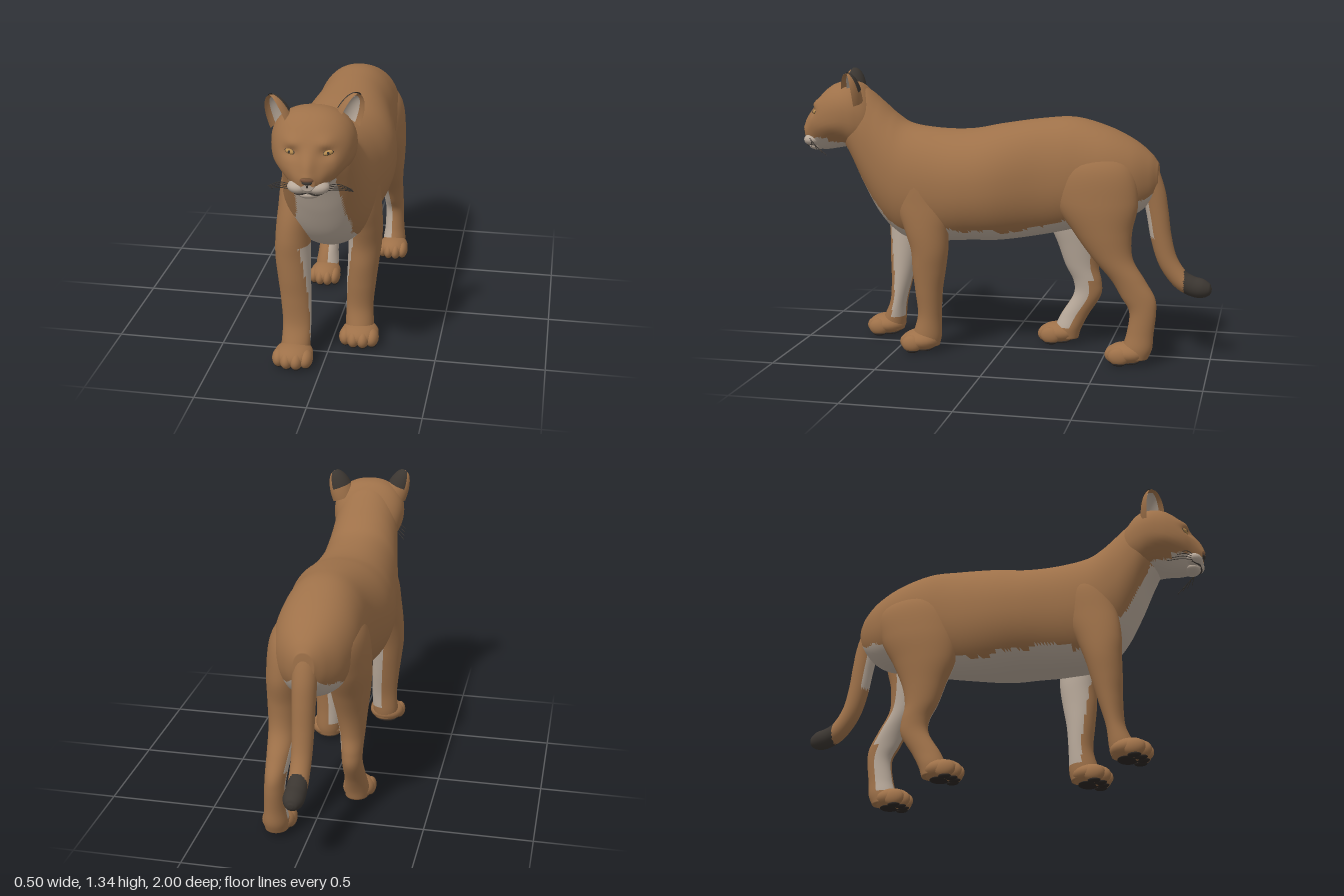
import * as THREE from 'three';
import { ParametricGeometry } from 'three/addons/geometries/ParametricGeometry.js';

const mat = (name, color) => new THREE.MeshStandardMaterial({ name, color, side: THREE.DoubleSide });
const tan = mat('tan fur', 0x9e7149);
const pale = mat('pale fur', 0xb8a99a);
const dark = mat('dark fur', 0x3b3631);
const pad = mat('paw pad', 0x2b2623);
const amber = mat('amber eye', 0xb58a4e);
const noseMat = mat('nose', 0x80583f);

// Smooth skin through stations [x, y, z, radius across, radius along V].
// V is a fixed axis, or is turned along the path when left out.
// sculpt(p) moves a vertex; paint(p, cos, sin) picks a material index for each face.
function loft(name, stations, { V = null, n = 2, sides = 56, steps = 8, mats = [tan], sculpt = () => {}, paint }) {
  const path = new THREE.CatmullRomCurve3(stations.map(s => new THREE.Vector3(s[0], s[1], s[2])), false, 'catmullrom');
  const size = new THREE.CatmullRomCurve3(stations.map(s => new THREE.Vector3(s[3], s[4], 0)), false, 'catmullrom');
  const rings = (stations.length - 1) * steps, pos = [];
  const bend = v => Math.sign(v) * Math.abs(v) ** (2 / n);
  for (let i = 0; i <= rings; i++) {
    const c = path.getPoint(i / rings), r = size.getPoint(i / rings), t = path.getTangent(i / rings);
    const axis = V || new THREE.Vector3(0, -t.z, t.y);
    for (let j = 0; j < sides; j++) {
      const a = j / sides * Math.PI * 2;
      const p = c.clone().addScaledVector(axis, Math.max(r.y, 0.002) * bend(Math.sin(a)));
      p.x += Math.max(r.x, 0.002) * bend(Math.cos(a));
      sculpt(p);
      pos.push(p.x, p.y, p.z);
    }
  }
  const first = pos.length / 3, last = stations[stations.length - 1];
  pos.push(...stations[0].slice(0, 3), ...last.slice(0, 3));
  const at = i => new THREE.Vector3(pos[i * 3], pos[i * 3 + 1], pos[i * 3 + 2]);
  const buckets = mats.map(() => []);
  let volume = 0;
  const tri = (a, b, c, angle) => {
    const A = at(a), B = at(b), C = at(c);
    volume += A.dot(B.clone().cross(C));
    const mid = A.add(B).add(C).divideScalar(3);
    buckets[paint(mid, Math.cos(angle), Math.sin(angle))].push(a, b, c);
  };
  for (let j = 0; j < sides; j++) {
    const k = (j + 1) % sides, angle = (j + 0.5) / sides * Math.PI * 2;
    for (let i = 0; i < rings; i++) {
      const a = i * sides + j, b = i * sides + k;
      tri(a, b, b + sides, angle);
      tri(a, b + sides, a + sides, angle);
    }
    tri(first, k, j, angle);
    tri(first + 1, rings * sides + j, rings * sides + k, angle);
  }
  if (volume < 0) buckets.forEach(b => b.reverse());
  const g = new THREE.BufferGeometry();
  g.setAttribute('position', new THREE.Float32BufferAttribute(pos, 3));
  g.setIndex(buckets.flat());
  let start = 0;
  buckets.forEach((b, m) => { g.addGroup(start, b.length, m); start += b.length; });
  g.computeVertexNormals();
  const mesh = new THREE.Mesh(g, mats);
  mesh.name = name;
  return mesh;
}

function blob(name, m, [x, y, z], [rx, ry, rz], rot = [0, 0, 0]) {
  const mesh = new THREE.Mesh(new THREE.SphereGeometry(1, 24, 16), m);
  mesh.name = name;
  mesh.position.set(x, y, z);
  mesh.scale.set(rx, ry, rz);
  mesh.rotation.set(...rot);
  return mesh;
}

function hair(name, points, r) {
  const curve = new THREE.CatmullRomCurve3(points.map(p => new THREE.Vector3(...p)));
  const mesh = new THREE.Mesh(new THREE.TubeGeometry(curve, 14, r, 5), dark);
  mesh.name = name;
  return mesh;
}

const UP = new THREE.Vector3(0, 1, 0), FORWARD = new THREE.Vector3(0, 0, 1);
const slices = rows => rows.map(([z, top, bottom, w]) => [0, (top + bottom) / 2, z, w, (top - bottom) / 2]);
const bump = (x, y, cx, cy, rx, ry) => Math.exp(-(((x - cx) / rx) ** 2) - ((y - cy) / ry) ** 2);

// Leg rows: [y, x, half width, back z, front z]
function leg(name, s, rows, paint) {
  const st = rows.map(([y, x, rx, b, f]) => [s * x, y, (b + f) / 2, rx, (f - b) / 2]);
  return loft(name, st, { V: FORWARD, sides: 40, mats: [tan, pale], paint: (p, c, sn) => paint(p, c * s, sn) ? 1 : 0 });
}

function paw(name, x, front, k) {
  const g = new THREE.Group();
  g.name = name;
  g.add(blob('pawTop', tan, [x, 0.055, front - 0.1], [0.088 * k, 0.05, 0.092]));
  g.add(blob('heelPad', pad, [x, 0.012, front - 0.115], [0.055 * k, 0.01, 0.045]));
  [-0.062, -0.022, 0.022, 0.062].forEach((dx, i) => {
    const z = front - (i % 3 ? 0.05 : 0.07);
    g.add(blob('toe', tan, [x + dx * k, 0.046, z], [0.031 * k, 0.041, 0.05]));
    g.add(blob('toePad', pad, [x + dx * k, 0.012, z], [0.022 * k, 0.011, 0.03]));
  });
  return g;
}

// Curved ear shell, open to the front; span is its sweep either side of the back
function earShell(name, m, scale, span, low, high) {
  const g = new ParametricGeometry((u, v, t) => {
    const a = (u * 2 - 1) * span, h = low + (high - low) * v;
    const w = Math.sqrt(Math.max(0, 1 - h ** 2.2)) * scale;
    t.set(0.062 * w * Math.sin(a), 0.145 * h * (0.6 + 0.4 * scale), -0.055 * w * Math.cos(a));
  }, 24, 16);
  const mesh = new THREE.Mesh(g, m);
  mesh.name = name;
  return mesh;
}

// Eye sockets, brows, nose bridge and a narrowing jaw
function sculptFace(p) {
  const x = Math.abs(p.x), { y, z } = p;
  const face = THREE.MathUtils.smoothstep(z, 0.8, 0.9);
  p.z += face * (0.022 * bump(x, y, 0, 1.1, 0.032, 0.06) + 0.012 * bump(x, y, 0.07, 1.185, 0.04, 0.022)
    - 0.016 * bump(x, y, 0.075, 1.14, 0.032, 0.02));
  p.x *= 1 - 0.3 * THREE.MathUtils.smoothstep(z, 0.72, 0.84) * (1 - THREE.MathUtils.smoothstep(y, 0.96, 1.09));
}

function makeHead() {
  const head = new THREE.Group();
  head.name = 'head';
  head.add(loft('skull', slices([
    [0.985, 1.06, 1.0, 0.035], [0.97, 1.085, 0.98, 0.06], [0.945, 1.14, 0.962, 0.088], [0.915, 1.2, 0.955, 0.118],
    [0.87, 1.25, 0.955, 0.147], [0.82, 1.28, 0.963, 0.168], [0.76, 1.288, 0.972, 0.179], [0.7, 1.272, 0.96, 0.173],
    [0.64, 1.205, 0.97, 0.14], [0.59, 1.11, 1.02, 0.06]]), {
    V: UP, n: 2.25, mats: [tan, pale], steps: 10, sculpt: sculptFace,
    paint: p => (p.y < 1.02 && p.z > 0.85) || (p.y < 1.0 && Math.abs(p.x) < 0.1) ? 1 : 0 }));
  head.add(blob('nose', noseMat, [0, 1.048, 0.98], [0.031, 0.016, 0.018]));
  head.add(blob('noseTip', dark, [0, 1.035, 0.985], [0.022, 0.01, 0.014]));
  head.add(blob('chin', pale, [0, 0.972, 0.932], [0.05, 0.022, 0.04]));
  for (const s of [-1, 1]) {
    head.add(blob('muzzle', pale, [s * 0.04, 1.004, 0.945], [0.047, 0.029, 0.042]));
    head.add(blob('eyeRim', dark, [s * 0.077, 1.141, 0.909], [0.03, 0.014, 0.016], [0, s * 0.5, s * 0.2]));
    head.add(blob('eye', amber, [s * 0.078, 1.142, 0.916], [0.022, 0.011, 0.014], [0, s * 0.5, s * 0.2]));
    head.add(blob('pupil', dark, [s * 0.079, 1.143, 0.928], [0.006, 0.007, 0.004]));
    head.add(hair('mouthLine', [[0, 1.025, 0.988], [0, 0.992, 0.974], [s * 0.035, 0.978, 0.972], [s * 0.075, 0.985, 0.94]], 0.004));
    for (let i = 0; i < 4; i++)
      head.add(hair('whisker', [[s * 0.065, 1.012 - i * 0.007, 0.955], [s * 0.12, 1.012 - i * 0.012, 0.93 - i * 0.01],
        [s * 0.172, 0.985 - i * 0.013, 0.91 - i * 0.024]], 0.0018));
    // Cupped ears turned a little outward, dark behind and pale inside
    const ear = new THREE.Group();
    ear.name = s > 0 ? 'leftEar' : 'rightEar';
    const inner = earShell('innerEar', pale, 0.76, 1.5, 0.05, 0.98);
    inner.position.z = -0.004;
    ear.add(earShell('outerEar', tan, 1, 1.9, 0, 1), inner, earShell('earBack', dark, 1.06, 1.2, 0.4, 0.98));
    ear.position.set(s * 0.13, 1.2, 0.752 - s * 0.028);
    ear.rotation.set(0.05, s * 0.7, -s * 0.32, 'ZYX');
    head.add(ear);
  }
  // slight turn of the head about the skull centre
  const pivot = new THREE.Vector3(0, 0, 0.8);
  head.rotation.y = 0.06;
  head.position.copy(pivot).sub(pivot.clone().applyEuler(head.rotation));
  return head;
}

export function createModel() {
  const model = new THREE.Group();
  model.name = 'bigCat';
  // Trunk and neck, pale on throat, chest and belly
  model.add(loft('body', slices([
    [-0.74, 0.93, 0.8, 0.045], [-0.7, 0.98, 0.74, 0.095], [-0.62, 1.04, 0.68, 0.155], [-0.5, 1.097, 0.65, 0.19],
    [-0.35, 1.137, 0.61, 0.197], [-0.2, 1.13, 0.575, 0.203], [0, 1.1, 0.542, 0.245], [0.15, 1.072, 0.535, 0.245],
    [0.3, 1.07, 0.525, 0.225], [0.45, 1.09, 0.53, 0.207], [0.53, 1.135, 0.57, 0.193], [0.6, 1.195, 0.645, 0.178],
    [0.67, 1.25, 0.77, 0.165], [0.73, 1.26, 0.9, 0.148], [0.78, 1.22, 0.98, 0.1]]), {
    V: UP, n: 2.15, mats: [tan, pale], steps: 10, sides: 72,
    paint: p => {
      const wave = 0.006 * Math.sin(p.z * 31) + 0.004 * Math.sin(p.z * 67);
      const chest = 0.095 + 0.035 * THREE.MathUtils.smoothstep(0.82 - p.y, 0, 0.15);
      if (p.z > 0.38) return p.y < 0.98 && Math.abs(p.x) < chest + wave ? 1 : 0;
      return p.y < 0.605 + wave + Math.max(0, -p.z - 0.1) * 0.3 ? 1 : 0;
    } }));
  model.add(makeHead());

  // Legs in a walking stance
  const foreInner = (p, c, s) => p.y > 0.1 && p.y < 0.56 && c < -0.1 && s < 0.2 + Math.max(0, p.y - 0.12) * 1.5;
  const hindInner = (p, c, s) => p.y > 0.09 && p.y < 0.68 && c < -0.15 && s > (p.y < 0.33 ? -0.2 : -0.6);
  model.add(leg('leftForeleg', 1, [
    [0.98, 0.11, 0.03, 0.32, 0.42], [0.87, 0.125, 0.08, 0.26, 0.48], [0.72, 0.14, 0.082, 0.22, 0.49], [0.6, 0.15, 0.078, 0.235, 0.45],
    [0.5, 0.147, 0.077, 0.24, 0.42], [0.4, 0.14, 0.072, 0.255, 0.415], [0.3, 0.132, 0.068, 0.272, 0.405], [0.18, 0.125, 0.063, 0.28, 0.395],
    [0.08, 0.127, 0.066, 0.28, 0.42], [0.03, 0.127, 0.06, 0.29, 0.42]], foreInner));
  model.add(leg('rightForeleg', -1, [
    [0.98, 0.11, 0.03, 0.37, 0.47], [0.87, 0.125, 0.08, 0.34, 0.55], [0.72, 0.14, 0.082, 0.36, 0.6], [0.6, 0.15, 0.08, 0.41, 0.615],
    [0.5, 0.15, 0.08, 0.445, 0.612], [0.4, 0.143, 0.075, 0.47, 0.61], [0.3, 0.135, 0.07, 0.495, 0.605], [0.18, 0.128, 0.065, 0.525, 0.61],
    [0.08, 0.13, 0.066, 0.535, 0.65], [0.03, 0.13, 0.06, 0.545, 0.65]], foreInner));
  model.add(leg('leftHindLeg', 1, [
    [1.04, 0.08, 0.03, -0.52, -0.38], [0.92, 0.115, 0.088, -0.63, -0.28], [0.76, 0.125, 0.1, -0.66, -0.27], [0.62, 0.13, 0.09, -0.635, -0.36],
    [0.5, 0.135, 0.072, -0.64, -0.45], [0.4, 0.14, 0.058, -0.7, -0.54], [0.32, 0.145, 0.05, -0.748, -0.59], [0.25, 0.148, 0.047, -0.755, -0.63],
    [0.15, 0.15, 0.05, -0.745, -0.62], [0.08, 0.15, 0.058, -0.74, -0.6], [0.03, 0.15, 0.054, -0.72, -0.6]], hindInner));
  model.add(leg('rightHindLeg', -1, [
    [1.04, 0.08, 0.03, -0.46, -0.32], [0.92, 0.115, 0.088, -0.6, -0.22], [0.76, 0.125, 0.102, -0.58, -0.19], [0.62, 0.13, 0.09, -0.51, -0.2],
    [0.5, 0.135, 0.072, -0.46, -0.245], [0.4, 0.14, 0.058, -0.443, -0.28], [0.32, 0.143, 0.05, -0.458, -0.32], [0.25, 0.145, 0.047, -0.455, -0.32],
    [0.15, 0.147, 0.05, -0.395, -0.26], [0.08, 0.147, 0.058, -0.36, -0.23], [0.03, 0.147, 0.054, -0.345, -0.23]], hindInner));
  model.add(paw('leftForepaw', 0.132, 0.48, 1), paw('rightForepaw', -0.132, 0.73, 1));
  model.add(paw('leftHindPaw', 0.152, -0.52, 0.85), paw('rightHindPaw', -0.148, -0.145, 0.85));

  // Tail with dark tip and pale underside
  model.add(loft('tail', [
    [0.96, -0.6, 0.075], [0.9, -0.665, 0.066], [0.8, -0.715, 0.056], [0.7, -0.737, 0.052], [0.58, -0.757, 0.049], [0.47, -0.79, 0.046],
    [0.39, -0.845, 0.045], [0.355, -0.9, 0.047], [0.343, -0.95, 0.046], [0.338, -0.985, 0.03], [0.337, -0.998, 0.01]]
    .map(([y, z, r]) => [0, y, z, r, r]), {
    sides: 32, mats: [tan, pale, dark],
    paint: (p, c, s) => p.z < -0.87 && p.y < 0.46 ? 2 : (p.y > 0.58 && p.y < 0.82 && s < -0.6 ? 1 : 0) }));
  return model;
}
